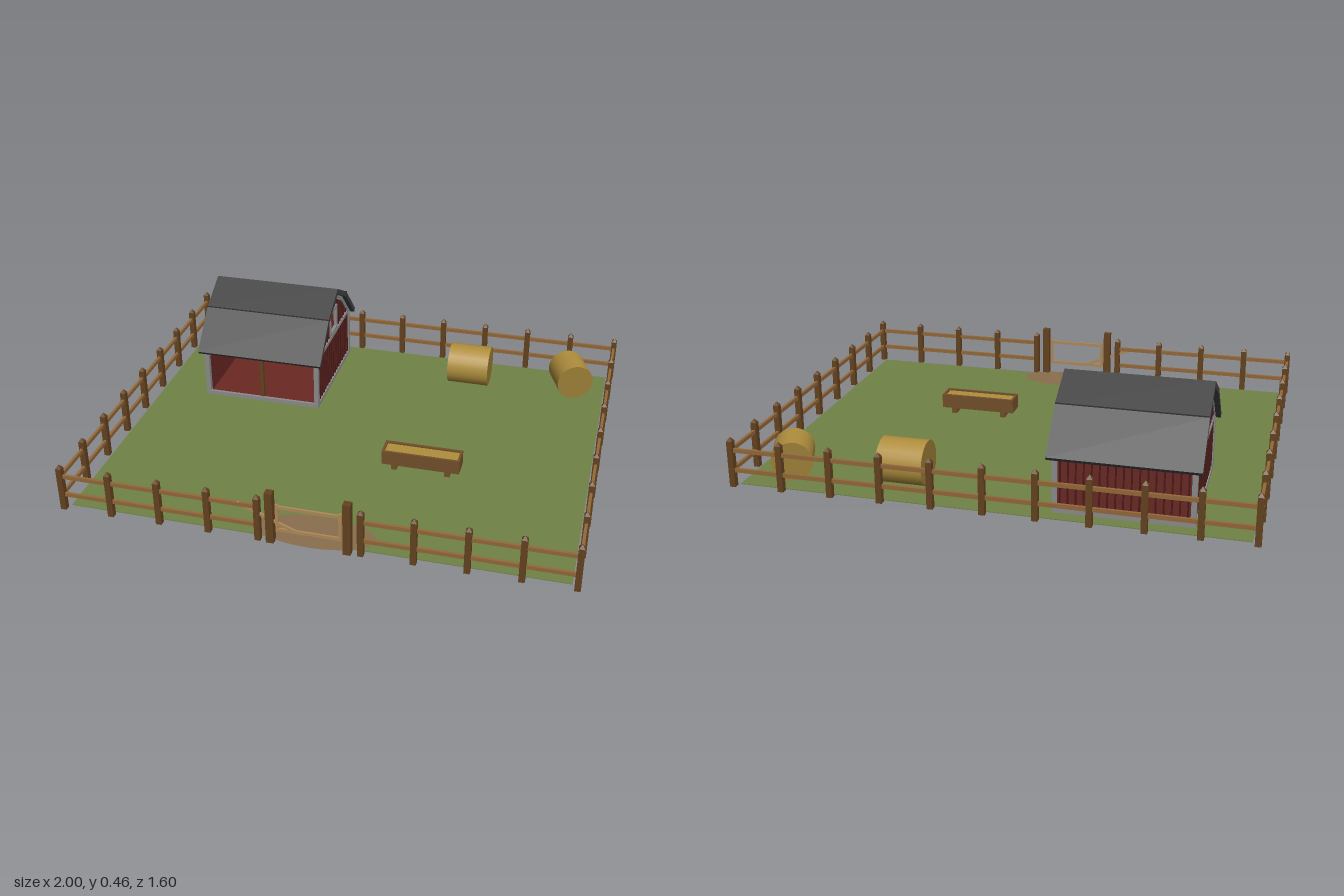
import * as THREE from 'three';

const mat = (color, side = THREE.FrontSide) => new THREE.MeshStandardMaterial({ color, side, flatShading: true, roughness: 0.9 });
const M = {
  grass: mat(0x708247), dirt: mat(0x8a6f4f, THREE.DoubleSide), post: mat(0x64431f), rail: mat(0x94693a),
  gate: mat(0xb08a58), red: mat(0x6b2823), batten: mat(0x471a17), trim: mat(0x8c8c8c), roof: mat(0x424242),
  seam: mat(0x333333), hay: mat(0xb08f3e), hayEnd: mat(0x9a7d36), trough: mat(0x74502b),
};

function add(parent, name, geo, m, x = 0, y = 0, z = 0) {
  const mesh = new THREE.Mesh(geo, m);
  mesh.name = name;
  mesh.position.set(x, y, z);
  parent.add(mesh);
  return mesh;
}
const box = (p, name, m, w, h, d, x, y, z) => add(p, name, new THREE.BoxGeometry(w, h, d), m, x, y, z);
function group(parent, name, x = 0, y = 0, z = 0) {
  const g = new THREE.Group();
  g.name = name;
  g.position.set(x, y, z);
  parent.add(g);
  return g;
}

// Fence: pointed posts with two rails, open at the gate
const FX = 0.988, ZB = -0.788, ZF = 0.782;
function fence(root) {
  const g = group(root, 'fence');
  const post = (x, z) => {
    box(g, 'fencePost', M.post, 0.023, 0.185, 0.023, x, 0.0925, z);
    const tip = new THREE.ConeGeometry(0.0163, 0.016, 4).rotateY(Math.PI / 4);
    add(g, 'fencePostTip', tip, M.post, x, 0.193, z);
  };
  for (let i = 0; i <= 10; i++) {
    const x = -FX + (i * 2 * FX) / 10;
    post(x, ZB);
    if (i !== 5) post(x, ZF);
  }
  for (let i = 1; i < 8; i++) {
    const z = ZB + (i * (ZF - ZB)) / 8;
    for (const s of [-1, 1]) post(s * FX, z);
  }
  const side = FX - 0.198;
  for (const y of [0.067, 0.148]) {
    box(g, 'backRail', M.rail, 2 * FX, 0.016, 0.011, 0, y, ZB);
    for (const s of [-1, 1]) {
      box(g, 'sideRail', M.rail, 0.011, 0.016, ZF - ZB, s * FX, y, (ZF + ZB) / 2);
      box(g, 'frontRail', M.rail, side, 0.016, 0.011, s * (0.198 + side / 2), y, ZF);
    }
  }
}

// Gate: thick posts, light frame and a slipped diagonal brace
function gate(root) {
  const g = group(root, 'gate', 0, 0, ZF);
  for (const s of [-1, 1]) {
    box(g, 'gatePost', M.post, 0.03, 0.222, 0.03, s * 0.148, 0.111, 0);
    box(g, 'gateStile', M.gate, 0.012, 0.12, 0.008, s * 0.121, 0.11, 0);
  }
  for (const y of [0.058, 0.158]) box(g, 'gateBar', M.gate, 0.25, 0.013, 0.008, 0, y, 0);
  box(g, 'gateBrace', M.gate, 0.26, 0.011, 0.008, -0.155, 0.103, 0).rotation.z = -0.4;
}

// Barn: u is the distance from the ridge line, across the gable
const WALL = [[0.265, 0.23], [0.145, 0.356], [0, 0.438]];
const ROOF_OUT = [[0.297, 0.228], [0.15, 0.381], [0, 0.463]];
const ROOF_IN = [[0.285, 0.214], [0.143, 0.359], [0, 0.438]];
const TRIM_IN = [[0.255, 0.222], [0.136, 0.34], [0, 0.416]];
const mirrored = (half) => [...half, ...half.slice(0, -1).reverse().map(([u, y]) => [-u, y])];
const shapeOf = (pts) => new THREE.Shape(pts.map(([u, y]) => new THREE.Vector2(u, y)));
const bandShape = (a, b) => shapeOf([...mirrored(a), ...mirrored(b).reverse()]);
const across = (shape, len) => new THREE.ExtrudeGeometry(shape, { depth: len, bevelEnabled: false })
  .translate(0, 0, -len / 2).rotateY(Math.PI / 2);
function wallTop(u) {
  const a = Math.abs(u), [e, k, r] = WALL;
  const [p, q] = a > k[0] ? [e, k] : [k, r];
  return q[1] + ((p[1] - q[1]) * (a - q[0])) / (p[0] - q[0]);
}

function barn(root) {
  const g = group(root, 'barn', -0.503, 0, -0.447);
  const HX = 0.253, HZ = 0.265;
  box(g, 'barnFloor', M.red, 2 * HX, 0.012, 2 * HZ, 0, 0.006, 0);
  box(g, 'backWall', M.red, 2 * HX, 0.23, 0.01, 0, 0.115, -HZ + 0.005);
  for (let i = -8; i <= 8; i++) box(g, 'backBatten', M.batten, 0.006, 0.21, 0.006, i * 0.029, 0.12, -HZ - 0.002);

  // Gables with see-through loft windows
  const wall = shapeOf([[0.265, 0], ...mirrored(WALL), [-0.265, 0]]);
  const W = 0.048, Y0 = 0.255, Y1 = 0.352;
  wall.holes.push(new THREE.Path([[-W, Y0], [-W, Y1], [W, Y1], [W, Y0]].map((p) => new THREE.Vector2(...p))));
  for (const s of [-1, 1]) {
    const e = group(g, s > 0 ? 'leftGable' : 'rightGable', s * (HX - 0.005), 0, 0);
    add(e, 'gableWall', across(wall, 0.01), M.red);
    for (let i = -8; i <= 8; i++) {
      const u = i * 0.031, top = wallTop(u) - 0.012;
      const spans = Math.abs(u) < W + 0.004 ? [[0.01, Y0], [Y1, top]] : [[0.01, top]];
      for (const [a, b] of spans) box(e, 'gableBatten', M.batten, 0.006, b - a, 0.006, s * 0.006, (a + b) / 2, u);
    }
    add(e, 'gableTrim', across(bandShape(ROOF_IN, TRIM_IN), 0.012), M.trim, s * 0.006);
    box(e, 'tieBoard', M.trim, 0.01, 0.015, 2 * HZ, s * 0.008, 0.235, 0);
    box(e, 'gableSill', M.trim, 0.01, 0.016, 2 * HZ, s * 0.008, 0.012, 0);
    for (const t of [-1, 1]) {
      box(e, 'cornerPost', M.trim, 0.02, 0.225, 0.02, s * 0.004, 0.1125, t * (HZ - 0.006));
      box(e, 'windowJamb', M.trim, 0.014, Y1 - Y0 + 0.02, 0.012, s * 0.006, (Y0 + Y1) / 2, t * (W + 0.003));
    }
    for (const y of [Y0 - 0.003, Y1 + 0.003]) box(e, 'windowRail', M.trim, 0.014, 0.012, 2 * W, s * 0.006, y, 0);
  }

  // Open front with sill, lintel and middle post
  for (const t of [-1, 1]) box(g, 'longSill', M.trim, 2 * HX, 0.022, 0.012, 0, 0.011, t * HZ);
  box(g, 'frontLintel', M.batten, 2 * HX, 0.02, 0.016, 0, 0.215, HZ - 0.01);
  box(g, 'middlePost', M.post, 0.016, 0.21, 0.016, 0, 0.11, HZ - 0.01);

  // Two-pitch roof with thin seams
  add(g, 'roof', across(bandShape(ROOF_OUT, ROOF_IN), 0.56), M.roof);
  for (const s of [-1, 1]) box(g, 'roofSeam', M.seam, 0.56, 0.004, 0.004, 0, 0.381, s * 0.15);
}

// Round hay bale lying on its side, with rolled end rings
function bale(root, x, z, r, len, turn) {
  const g = group(root, 'hayBale', x, r, z);
  g.rotation.y = turn;
  const smooth = M.hay.clone();
  smooth.flatShading = false;
  add(g, 'baleRoll', new THREE.CylinderGeometry(r, r, len, 24).rotateX(Math.PI / 2), [smooth, M.hayEnd, M.hayEnd]);
}

// Feeding trough filled with hay
function trough(root) {
  const g = group(root, 'trough', 0.3, 0, 0.178);
  for (const s of [-1, 1]) {
    box(g, 'troughSide', M.trough, 0.32, 0.06, 0.01, 0, 0.06, s * 0.038);
    box(g, 'troughEnd', M.trough, 0.01, 0.06, 0.068, s * 0.155, 0.06, 0);
    box(g, 'troughFoot', M.trough, 0.022, 0.034, 0.07, s * 0.11, 0.017, 0);
  }
  box(g, 'troughBottom', M.trough, 0.3, 0.01, 0.068, 0, 0.035, 0);
  box(g, 'troughHay', M.hay, 0.3, 0.045, 0.066, 0, 0.06, 0);
}

export function createModel() {
  const root = new THREE.Group();
  root.name = 'farmyard';
  box(root, 'ground', M.grass, 1.936, 0.003, 1.53, 0, 0.0025, -0.005);
  const patch = new THREE.CircleGeometry(1, 32).rotateX(-Math.PI / 2).scale(0.235, 1, 0.098);
  add(root, 'dirtPatch', patch, M.dirt, 0, 0.006, 0.698);
  fence(root);
  gate(root);
  barn(root);
  bale(root, 0.362, -0.59, 0.089, 0.182, Math.PI / 2);
  bale(root, 0.815, -0.623, 0.08, 0.155, 0.37);
  trough(root);
  return root;
}
